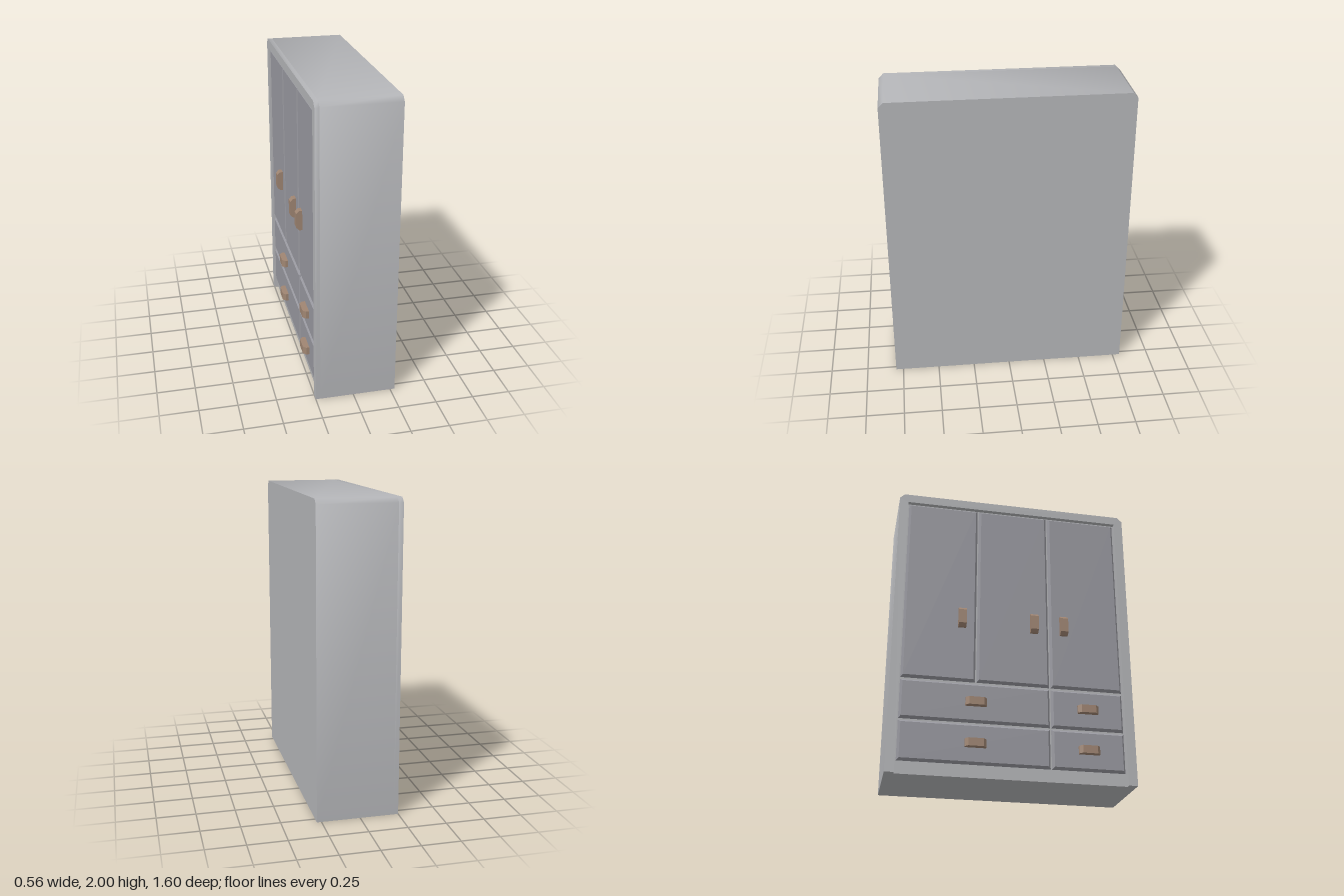
import * as THREE from 'three';
import { toCreasedNormals } from 'three/addons/utils/BufferGeometryUtils.js';

const bodyMat = new THREE.MeshStandardMaterial({ color: 0xb3b4b7 });
bodyMat.name = 'light grey carcass';
const panelMat = new THREE.MeshStandardMaterial({ color: 0x98989f });
panelMat.name = 'grey blue panel';
const handleMat = new THREE.MeshStandardMaterial({ color: 0x9f8572 });
handleMat.name = 'brown handle';

const FRAME_X = -0.25, RECESS_X = -0.22, BACK_X = 0.28, PANEL_X = -0.24, HANDLE_X = -0.28;

// Extrude a (z, y) outline along x, from xBack towards the doors at -x
function extrudeX(points, xBack, xFront) {
  const shape = new THREE.Shape(points.map(([z, y]) => new THREE.Vector2(z, y)));
  const geo = new THREE.ExtrudeGeometry(shape, { depth: xBack - xFront, bevelEnabled: false });
  geo.rotateY(-Math.PI / 2);
  geo.translate(xBack, 0, 0);
  return toCreasedNormals(geo, 0.9);
}

function addMesh(parent, name, geo, mat) {
  const mesh = new THREE.Mesh(geo, mat);
  mesh.name = name;
  parent.add(mesh);
  return mesh;
}

// Door or drawer front whose outer face is inset to make a sloping edge
function panelGeometry(z0, z1, y0, y1) {
  const w = z1 - z0, h = y1 - y0, inset = 0.015;
  const geo = new THREE.BoxGeometry(RECESS_X - PANEL_X, h, w);
  const p = geo.attributes.position;
  for (let i = 0; i < p.count; i++) {
    if (p.getX(i) < 0) {
      p.setY(i, Math.sign(p.getY(i)) * (h / 2 - inset));
      p.setZ(i, Math.sign(p.getZ(i)) * (w / 2 - inset));
    }
  }
  geo.computeVertexNormals();
  geo.translate((RECESS_X + PANEL_X) / 2, (y0 + y1) / 2, (z0 + z1) / 2);
  return geo;
}

// Grip with chamfered ends, long along y; turned on its side for drawers
function handleGeometry(z, y, horizontal) {
  const L = 0.068, c = 0.02, t = 0.052;
  const d = PANEL_X - HANDLE_X;
  const shape = new THREE.Shape([
    new THREE.Vector2(0, -L), new THREE.Vector2(0, L), new THREE.Vector2(-d + c, L),
    new THREE.Vector2(-d, L - c), new THREE.Vector2(-d, -L + c), new THREE.Vector2(-d + c, -L),
  ]);
  const geo = new THREE.ExtrudeGeometry(shape, { depth: t, bevelEnabled: false });
  geo.translate(0, 0, -t / 2);
  if (horizontal) geo.rotateX(Math.PI / 2);
  geo.translate(PANEL_X, y, z);
  return geo;
}

export function createModel() {
  const root = new THREE.Group();
  root.name = 'wardrobe';

  // Carcass with chamfered top edges
  const W = 0.8, H = 2, C = 0.032, wall = 0.06;
  const outer = [[W, 0], [W, H - C], [W - C, H], [-W + C, H], [-W, H - C], [-W, 0]];
  addMesh(root, 'carcass', extrudeX(outer, BACK_X, RECESS_X), bodyMat);

  // Raised rim round the doors, open at the floor between two feet
  const inner = [[-W + wall, 0], [-W + wall, H - wall], [W - wall, H - wall], [W - wall, 0]];
  addMesh(root, 'frame', extrudeX([...outer, ...inner], RECESS_X, FRAME_X), bodyMat);

  // Three doors
  const edges = [-0.735, -0.245, 0.245, 0.735], gap = 0.004;
  const doorHandleZ = [-0.345, 0.14, 0.343];
  doorHandleZ.forEach((z, i) => {
    const door = new THREE.Group();
    door.name = 'door' + (i + 1);
    addMesh(door, 'doorPanel', panelGeometry(edges[i] + gap, edges[i + 1] - gap, 0.635, 1.935), panelMat);
    addMesh(door, 'doorHandle', handleGeometry(z, 1.08, false), handleMat);
    root.add(door);
  });

  // Two rows of drawers, one wide and one narrow in each
  for (const y of [0.215, 0.49]) {
    for (const [z0, z1] of [[edges[0], edges[2]], [edges[2], edges[3]]]) {
      const drawer = new THREE.Group();
      drawer.name = 'drawer';
      addMesh(drawer, 'drawerFront', panelGeometry(z0 + gap, z1 - gap, y - 0.132, y + 0.132), panelMat);
      addMesh(drawer, 'drawerHandle', handleGeometry((z0 + z1) / 2, y, true), handleMat);
      root.add(drawer);
    }
  }
  return root;
}
